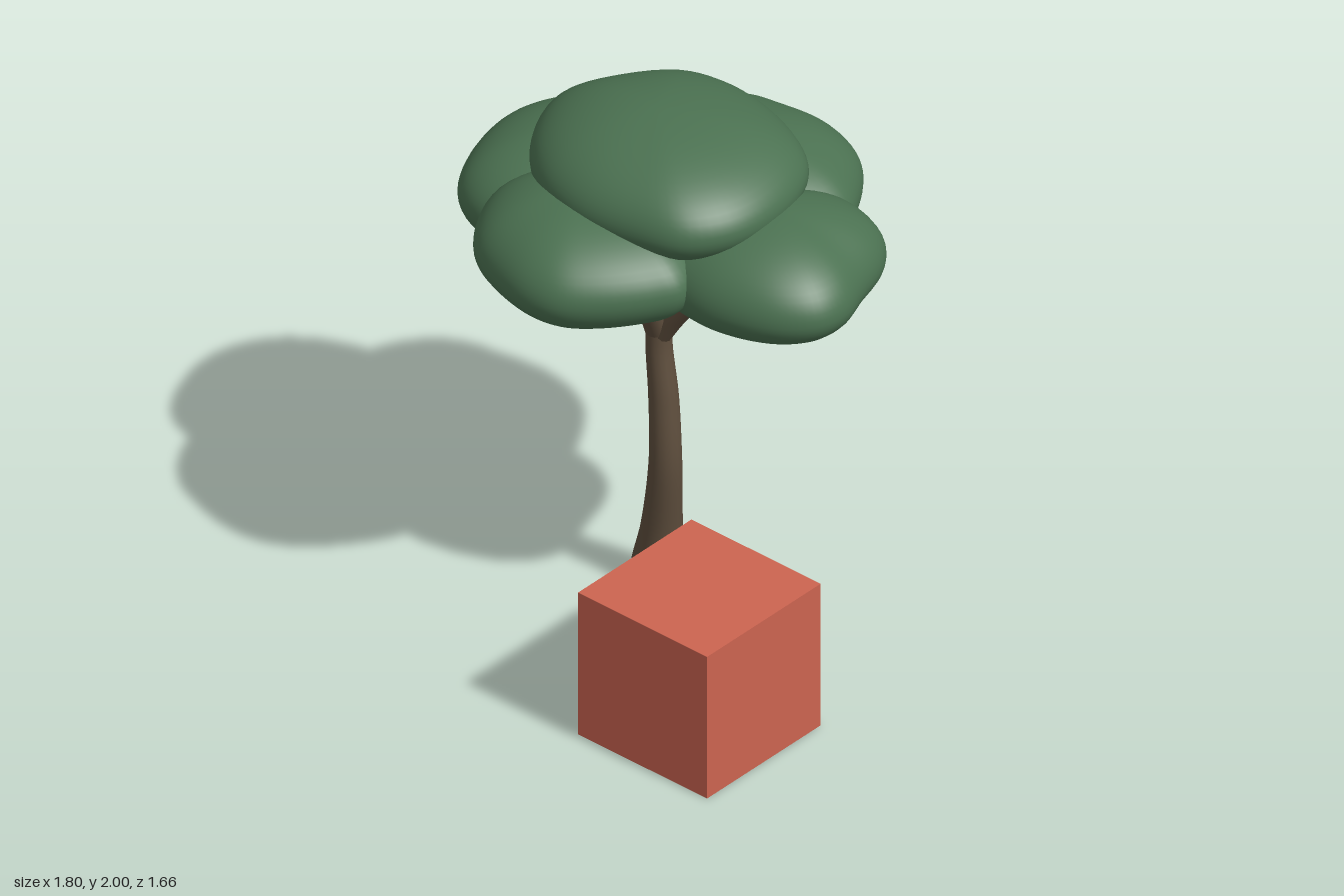
import * as THREE from 'three';
import { mergeVertices } from 'three/addons/utils/BufferGeometryUtils.js';

const leafGreen = new THREE.MeshStandardMaterial({ color: 0x4b7151 });
const barkBrown = new THREE.MeshStandardMaterial({ color: 0x5e4e3d });
const boxRed = new THREE.MeshStandardMaterial({ color: 0xcc6450 });

function addMesh(parent, name, geometry, material) {
  const mesh = new THREE.Mesh(geometry, material);
  mesh.name = name;
  parent.add(mesh);
  return mesh;
}

// Rounded leaf clump: a sphere stretched to a plan outline [x, z] (from -x via +z to +x),
// with its widest level at mid and its poles at top and bottom [x, y, z].
function clumpGeometry({ outline, top, bottom, mid }) {
  const curve = new THREE.CatmullRomCurve3(
    outline.map(([x, z]) => new THREE.Vector3(x, 0, z)), true);
  const sphere = new THREE.SphereGeometry(1, 64, 32);
  const pos = sphere.attributes.position;
  const uv = sphere.attributes.uv;
  for (let i = 0; i < pos.count; i++) {
    const h = pos.getY(i);
    const s = Math.sqrt(Math.max(0, 1 - h * h));
    const pole = h > 0 ? top : bottom;
    const p = curve.getPoint(((uv.getX(i) % 1) + 1) % 1);
    pos.setXYZ(i,
      pole[0] + (p.x - pole[0]) * s,
      mid + (pole[1] - mid) * Math.abs(h),
      pole[2] + (p.z - pole[2]) * s);
  }
  sphere.deleteAttribute('uv');
  sphere.deleteAttribute('normal');
  const merged = mergeVertices(sphere, 1e-4);
  merged.computeVertexNormals();
  return merged;
}

// Tapered limb through points [x, y, z, radius].
function limbGeometry(points, segments) {
  const curve = new THREE.CatmullRomCurve3(
    points.map(([x, y, z]) => new THREE.Vector3(x, y, z)));
  const radii = new THREE.CatmullRomCurve3(
    points.map(([, y, , r]) => new THREE.Vector3(r, y, 0)));
  const sides = 16;
  const geometry = new THREE.TubeGeometry(curve, segments, 1, sides);
  const pos = geometry.attributes.position;
  const v = new THREE.Vector3();
  for (let i = 0; i < pos.count; i++) {
    const u = Math.floor(i / (sides + 1)) / segments;
    const centre = curve.getPointAt(u);
    const r = radii.getPoint(curve.getUtoTmapping(u)).x;
    v.fromBufferAttribute(pos, i).sub(centre).multiplyScalar(r).add(centre);
    pos.setXYZ(i, v.x, Math.max(0, v.y), v.z);
  }
  return geometry;
}

const clumps = {
  topClump: {
    outline: [[-.62, -.08], [-.525, .145], [-.36, .29], [-.16, .345], [.08, .32], [.27, .255],
      [.375, .12], [.41, -.05], [.375, -.265], [.29, -.41], [.08, -.52], [-.16, -.555],
      [-.36, -.5], [-.54, -.29]],
    top: [-.15, 2, -.09], bottom: [-.1, 1.56, -.1], mid: 1.77,
  },
  frontClump: {
    outline: [[-.58, .27], [-.54, .41], [-.43, .545], [-.26, .617], [-.115, .638], [.005, .61],
      [.125, .515], [.245, .36], [.295, .25], [.22, .06], [0, -.1], [-.25, -.12], [-.49, .05]],
    top: [-.22, 1.795, .22], bottom: [-.11, 1.36, .26], mid: 1.565,
  },
  leftClump: {
    outline: [[-.06, -.05], [.05, .18], [.295, .25], [.485, .23], [.655, .155], [.75, .05],
      [.768, -.07], [.72, -.22], [.665, -.385], [.58, -.48], [.4, -.52], [.22, -.42], [.02, -.28]],
    top: [.33, 1.775, -.12], bottom: [.26, 1.33, -.12], mid: 1.54,
  },
  rightClump: {
    outline: [[-.9, -.08], [-.85, .12], [-.765, .255], [-.645, .312], [-.47, .3], [-.27, .2],
      [-.17, -.05], [-.26, -.35], [-.45, -.52], [-.62, -.495], [-.79, -.385], [-.88, -.23]],
    top: [-.53, 1.745, -.1], bottom: [-.57, 1.285, -.1], mid: 1.52,
  },
  backClump: {
    outline: [[-.49, -.48], [-.42, -.27], [-.2, -.13], [.1, -.13], [.33, -.27], [.4, -.48],
      [.34, -.625], [.22, -.77], [.05, -.83], [-.16, -.81], [-.31, -.77], [-.43, -.65]],
    top: [-.05, 1.775, -.45], bottom: [-.08, 1.315, -.45], mid: 1.55,
  },
};

// Each branch grows out of the fork at the top of the trunk.
const branches = {
  leftBranch: [[-.125, 1.04, -.085, .044], [-.06, 1.13, -.09, .036], [.03, 1.24, -.095, .027], [.2, 1.45, -.1, .02]],
  rightBranch: [[-.12, 1.04, -.085, .046], [-.175, 1.14, -.085, .04], [-.25, 1.23, -.09, .027], [-.45, 1.41, -.1, .022]],
  frontBranch: [[-.125, 1.06, -.085, .046], [-.12, 1.17, -.035, .042], [-.125, 1.27, .04, .038], [-.13, 1.45, .16, .026]],
  backBranch: [[-.12, 1.06, -.085, .044], [-.105, 1.16, -.13, .036], [-.09, 1.25, -.2, .026], [-.08, 1.44, -.36, .02]],
};

export function createModel() {
  const model = new THREE.Group();

  // Leafy canopy
  const canopy = new THREE.Group();
  canopy.name = 'canopy';
  model.add(canopy);
  for (const [name, clump] of Object.entries(clumps)) {
    addMesh(canopy, name, clumpGeometry(clump), leafGreen);
  }

  // Bent trunk with a flared foot
  const wood = new THREE.Group();
  wood.name = 'wood';
  model.add(wood);
  addMesh(wood, 'trunk', limbGeometry([
    [-.12, 0, -.075, .106], [-.118, .07, -.075, .1], [-.103, .24, -.075, .076], [-.072, .55, -.06, .059],
    [-.092, .8, -.073, .054], [-.122, 1, -.083, .048], [-.124, 1.12, -.085, .047],
  ], 40), barkBrown);
  const foot = addMesh(wood, 'trunkBase', new THREE.CircleGeometry(.106, 16), barkBrown);
  foot.rotation.x = Math.PI / 2;
  foot.position.set(-.12, .001, -.075);

  // Four branches
  for (const [name, points] of Object.entries(branches)) {
    addMesh(wood, name, limbGeometry(points, 16), barkBrown);
  }

  // Cube beside the tree
  const cube = addMesh(model, 'cube', new THREE.BoxGeometry(.603, .603, .603), boxRed);
  cube.position.set(.599, .3015, .523);

  return model;
}
